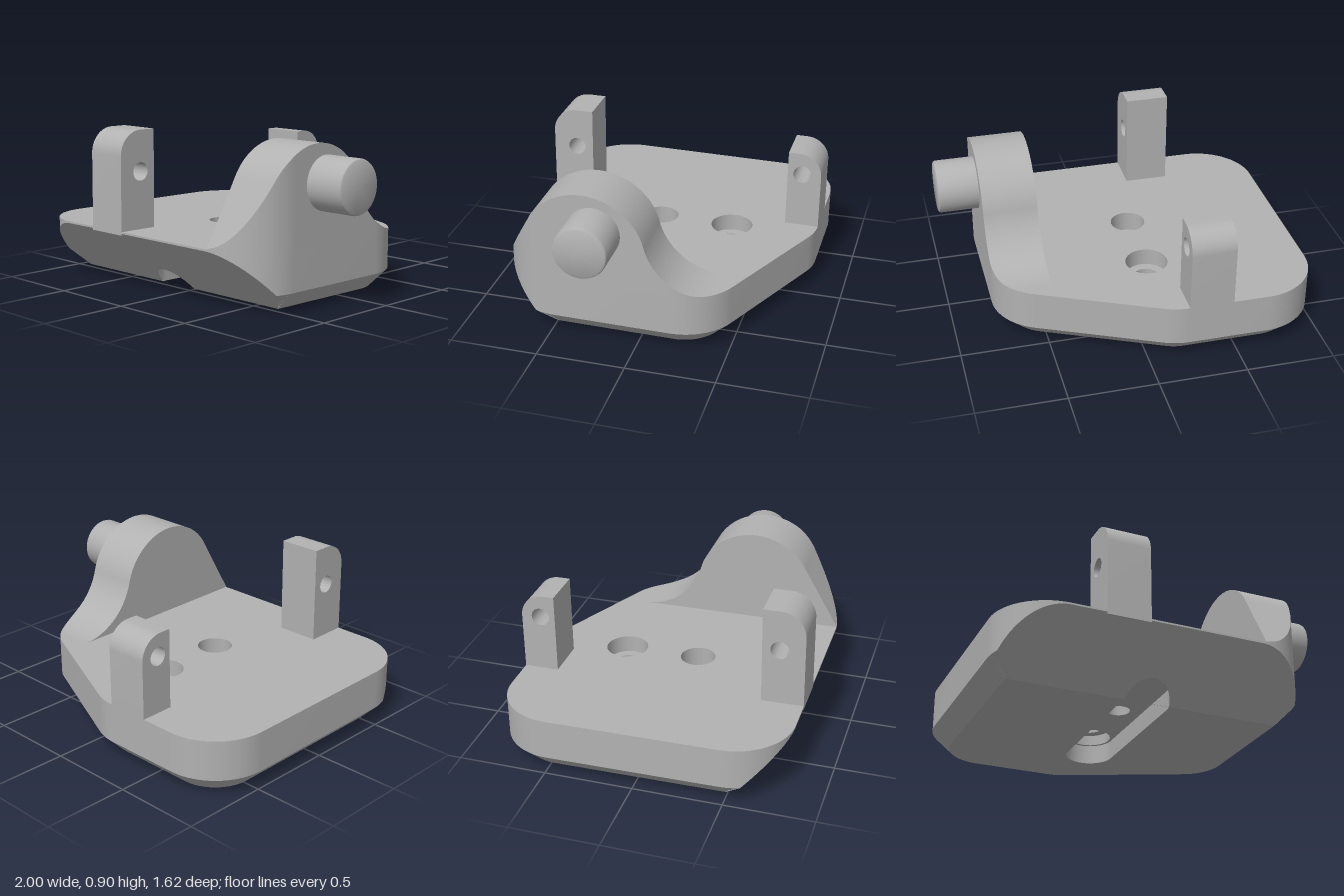
import * as THREE from 'three';
import { toCreasedNormals } from 'three/addons/utils/BufferGeometryUtils.js';

const TOP = 0.34, CHAMFER = 0.11, BOTTOM = 0.01, CUT = 0.48; // front cut plane: z = y + CUT
const SLOT_X = -0.107, SLOT_R = 0.135, SLOT_FLOOR = 0.12;
const V = (x, y, z) => new THREE.Vector3(x, y, z);
const P = (x, y) => new THREE.Vector2(x, y);

// Points on an arc, angles in degrees
function arc(cx, cy, r, from, to, n) {
  return Array.from({ length: n + 1 }, (_, i) => {
    const a = THREE.MathUtils.degToRad(from + (to - from) * i / n);
    return P(cx + r * Math.cos(a), cy + r * Math.sin(a));
  });
}

// Plate outline in (x, z); a smaller radius gives an inset copy
function outline(r) {
  return [
    ...arc(0.44, 0.48, r, 90, 0, 37),
    ...arc(0.44, -0.18, r, -1, -65.6, 24),
    ...arc(-0.22, -0.48, r, -65.6, -90, 10),
    ...arc(-0.67, -0.48, r, -90, -180, 37),
    ...arc(-0.67, 0.48, r, -180, -270, 37),
  ];
}

// Skin between rings of equal length, leaving out triangles that skip() rejects
function loft(rings, skip = () => false) {
  const pos = [], t = new THREE.Triangle();
  const add = (a, b, c) => {
    t.set(a, b, c);
    if (t.getArea() > 1e-9 && !skip([a, b, c])) for (const p of [a, b, c]) pos.push(p.x, p.y, p.z);
  };
  for (let k = 0; k < rings.length - 1; k++) {
    const n = rings[k].length;
    for (let i = 0; i < n; i++) {
      const j = (i + 1) % n, lo = rings[k], hi = rings[k + 1];
      add(lo[i], lo[j], hi[j]);
      add(lo[i], hi[j], hi[i]);
    }
  }
  const g = new THREE.BufferGeometry();
  g.setAttribute('position', new THREE.Float32BufferAttribute(pos, 3));
  return toCreasedNormals(g, 0.4);
}

// Flat face at height y from (x, z) points, facing up or down
function flat(points, y, up, holes = []) {
  const s = up ? -1 : 1;
  const conv = (pts) => pts.map((p) => P(p.x, p.y * s));
  const shape = new THREE.Shape(conv(points));
  shape.holes = holes.map((h) => new THREE.Path(conv(h)));
  return new THREE.ShapeGeometry(shape).rotateX(s * Math.PI / 2).translate(0, y, 0);
}

const circle = (z, r) => arc(SLOT_X, z, r, 0, 360, 40).slice(0, -1);

export function createModel() {
  const grey = new THREE.MeshStandardMaterial({ color: 0xb2b2b2, side: THREE.DoubleSide });
  grey.name = 'grey';
  const model = new THREE.Group();
  model.name = 'bracket';
  const add = (name, geometry, parent = model) => {
    const m = new THREE.Mesh(geometry, grey);
    m.name = name;
    parent.add(m);
    return m;
  };

  // Base plate: chamfered bottom, sloping front cut
  const base = new THREE.Group();
  base.name = 'basePlate';
  model.add(base);
  const outer = outline(0.33), inset = outline(0.23);
  const clip = (p, y) => V(p.x, y, Math.min(p.y, y + CUT));
  const rings = [
    inset.map((p) => clip(p, BOTTOM)),
    outer.map((p) => clip(p, CHAMFER)),
    outer.map((p) => V(p.x, THREE.MathUtils.clamp(p.y - CUT, CHAMFER, TOP), p.y)),
    outer.map((p) => V(p.x, TOP, p.y)),
  ];
  add('plateSides', loft(rings, (tri) => tri.every((p) => p.z - p.y > CUT - 1e-4)), base);

  // Long slot under the plate, running out through the front cut
  const slot = [...arc(SLOT_X, 0.46, SLOT_R, 0, 180, 24), ...arc(SLOT_X, -0.32, SLOT_R, 180, 360, 24)];
  add('slotWall', loft([
    slot.map((p) => V(p.x, Math.max(BOTTOM, p.y - CUT), p.y)),
    slot.map((p) => V(p.x, SLOT_FLOOR, p.y)),
  ]), base);
  const limit = BOTTOM + CUT;
  add('plateBottom', flat(inset.map((p) => P(p.x, Math.min(p.y, limit))), BOTTOM, false,
    [slot.map((p) => P(p.x, Math.min(p.y, limit - 0.0005)))]), base);

  // Sloping front face with the arch of the slot
  const edge = outer.filter((p) => p.y >= CHAMFER + CUT - 1e-3);
  const right = edge.filter((p) => p.x > 0).reverse(), left = edge.filter((p) => p.x < 0).reverse();
  const front = new THREE.Shape([
    P(-0.9, BOTTOM), P(0.67, BOTTOM),
    ...[...right, ...left].map((p) => P(p.x, p.y - CUT)),
  ]);
  front.holes.push(new THREE.Path(slot.filter((p) => p.y > 0.45)
    .map((p) => P(p.x, Math.max(BOTTOM + 0.0005, p.y - CUT)))));
  const frontGeo = new THREE.ShapeGeometry(front), fp = frontGeo.attributes.position;
  for (let i = 0; i < fp.count; i++) fp.setZ(i, fp.getY(i) + CUT);
  frontGeo.computeVertexNormals();
  add('frontCut', frontGeo, base);

  // Two counterbored holes; the rear one also has a recess from below
  const holes = [
    { z: 0.11, sink: 0.1, bore: 0.065, shelf: 0.22, low: SLOT_FLOOR, recess: 0.065 },
    { z: -0.32, sink: 0.12, bore: 0.07, shelf: 0.24, low: 0.18, recess: 0.12 },
  ];
  add('plateTop', flat(outer, TOP, true, holes.map((h) => circle(h.z, h.sink))), base);
  add('slotFloor', flat(slot, SLOT_FLOOR, false, holes.map((h) => circle(h.z, h.recess))), base);
  for (const h of holes) {
    const wall = (name, r, y0, y1) => add(name, new THREE.CylinderGeometry(r, r, y1 - y0, 40, 1, true)
      .translate(SLOT_X, (y0 + y1) / 2, h.z), base);
    wall('counterbore', h.sink, h.shelf, TOP);
    wall('bore', h.bore, h.low, h.shelf);
    add('counterboreShelf', flat(circle(h.z, h.sink), h.shelf, true, [circle(h.z, h.bore)]), base);
    if (h.recess > h.bore) {
      wall('recess', h.recess, SLOT_FLOOR, h.low);
      add('recessCeiling', flat(circle(h.z, h.recess), h.low, false, [circle(h.z, h.bore)]), base);
    }
  }

  // Side lug: humped (z, y) profile whose outer face follows the plate edge
  const profile = [
    ...Array.from({ length: 20 }, (_, i) => P(0.81 - 0.207 * i / 20, 0.343 + 0.3615 * i / 20)),
    ...arc(0.3, 0.53, 0.35, 29.9, 165.3, 40),
    ...arc(-0.4, 0.714, 0.374, -14.7, -90, 24).slice(1),
  ];
  const edgeX = (z) => {
    const d = Math.max(z - 0.48, -0.18 - z, 0);
    return Math.max(0.461, 0.44 + Math.sqrt(Math.max(0, 0.33 ** 2 - d * d)));
  };
  add('sideLug', loft(profile.map((p) => {
    const x = edgeX(p.x);
    return [V(0.46, TOP, p.x), V(0.46, p.y, p.x), V(x, p.y, p.x), V(x, TOP, p.x)];
  })));

  // Pivot peg with a softened end
  const peg = add('pivotPeg', toCreasedNormals(new THREE.LatheGeometry(
    [P(0.15, 0), P(0.15, 0.265), P(0.146, 0.275), P(0.138, 0.28), P(0, 0.28)], 48), 0.6));
  peg.rotation.z = -Math.PI / 2;
  peg.position.set(0.72, 0.665, 0.24);

  // Upright posts, rounded on the outer top corner, with a cross hole
  const post = (name, side, inner, top, r, holeZ, holeY) => {
    const o = 0.81;
    const s = new THREE.Shape([P(inner, TOP - 0.02), P(o, TOP - 0.02),
      ...arc(o - r, top - r, r, 0, 90, 16), P(inner, top)].map((p) => P(p.x * side, p.y)));
    s.holes.push(new THREE.Path(arc(holeZ * side, holeY, 0.052, 0, 360, 32).slice(0, -1)));
    const g = new THREE.ExtrudeGeometry(s, { depth: 0.25, bevelEnabled: false });
    add(name, toCreasedNormals(g.rotateY(-Math.PI / 2).translate(-0.22, 0, 0), 0.5));
  };
  post('frontPost', 1, 0.572, 0.898, 0.14, 0.67, 0.665);
  post('backPost', -1, 0.615, 0.797, 0.13, 0.7, 0.667);

  // The whole bracket leans back very slightly
  model.rotation.x = -0.01;
  const root = new THREE.Group();
  root.add(model);
  return root;
}
